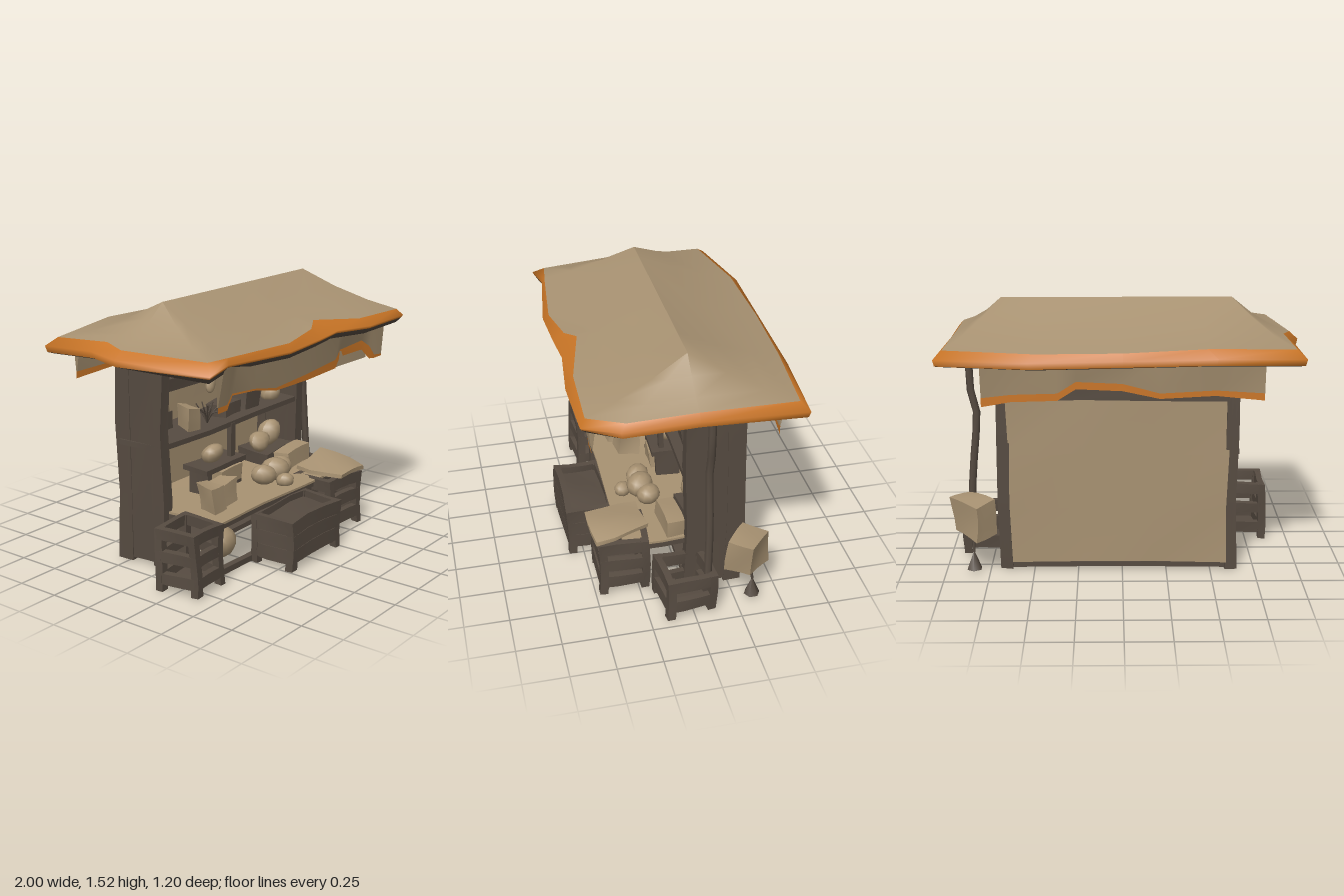
import * as THREE from 'three';

const tan = new THREE.MeshStandardMaterial({ color: 0xa89272, side: THREE.DoubleSide });
const wood = new THREE.MeshStandardMaterial({ color: 0x564b41, side: THREE.DoubleSide });
const orange = new THREE.MeshStandardMaterial({ color: 0xc97526, side: THREE.DoubleSide });
tan.name = 'tan cloth';
wood.name = 'dark wood';
orange.name = 'orange trim';

// Bend vertices by a smooth rule so that straight parts look hand made
function warp(geo, amount) {
  const p = geo.attributes.position;
  for (let i = 0; i < p.count; i++) {
    const x = p.getX(i), y = p.getY(i), z = p.getZ(i);
    p.setXYZ(i,
      x + amount * Math.sin(9 * y + 13 * z + 5 * x),
      y + amount * Math.sin(11 * x + 7 * z + 1),
      z + amount * Math.sin(8 * x + 10 * y + 2));
  }
  geo.computeVertexNormals();
  return geo;
}

function add(parent, name, geo, mat) {
  const m = new THREE.Mesh(geo, mat);
  m.name = name;
  parent.add(m);
  return m;
}

// Box given by its lower and upper corners
function box(parent, name, mat, [x0, y0, z0], [x1, y1, z1], amount = 0.006) {
  const g = new THREE.BoxGeometry(x1 - x0, y1 - y0, z1 - z0, 3, 3, 3);
  g.translate((x0 + x1) / 2, (y0 + y1) / 2, (z0 + z1) / 2);
  return add(parent, name, warp(g, amount), mat);
}

// Lumpy ball given by centre and radii
function lump(parent, name, mat, [x, y, z], [rx, ry, rz], amount = 0.012) {
  const g = new THREE.SphereGeometry(1, 10, 7).scale(rx, ry, rz).translate(x, y, z);
  return add(parent, name, warp(g, amount), mat);
}

function pole(parent, name, mat, points, r, sides = 7) {
  const curve = new THREE.CatmullRomCurve3(points.map(p => new THREE.Vector3(...p)));
  return add(parent, name, new THREE.TubeGeometry(curve, 8, r, sides), mat);
}

// Surface through rows of points
function skin(parent, name, mat, rows, closed) {
  const n = rows[0].length, idx = [];
  for (let r = 0; r < rows.length - 1; r++)
    for (let i = 0; i < (closed ? n : n - 1); i++) {
      const j = (i + 1) % n, a = r * n + i, b = r * n + j;
      idx.push(a, b, b + n, a, b + n, a + n);
    }
  const g = new THREE.BufferGeometry();
  g.setAttribute('position', new THREE.Float32BufferAttribute(rows.flat(2), 3));
  g.setIndex(idx);
  g.computeVertexNormals();
  return add(parent, name, g, mat);
}

function makeRoof() {
  const roof = new THREE.Group();
  roof.name = 'roof';
  // Eave outline, counter-clockwise from above: x, z, lift, trim width
  const eave = [[-0.94, 0.57, -0.01, 0.065], [-0.75, 0.54, 0.01, 0.015], [-0.3, 0.6, 0, 0.03], [0, 0.585, 0.01, 0.06],
    [0.2, 0.57, 0.02, 0.1], [0.5, 0.6, 0, 0.05], [0.88, 0.59, 0, 0.03], [0.97, 0.4, 0, 0.03], [0.97, 0, 0.01, 0.03],
    [1, -0.56, 0.01, 0.045], [0.5, -0.6, 0, 0.04], [0, -0.6, 0.01, 0.03], [-0.5, -0.6, 0.02, 0.05],
    [-0.98, -0.52, 0, 0.05], [-0.96, -0.2, 0.01, 0.06], [-1, 0, 0, 0.05]];
  const inset = (v, s) => v - Math.sign(v) * Math.min(Math.abs(v), s);
  const ring = (s, y) => eave.map(([x, z, lift]) => [inset(x, s), y + lift, inset(z, s)]);
  const trim = eave.map(([x, z, lift, w]) => [inset(x, w), 1.29 + lift + 0.4 * w, inset(z, w)]);
  // Lower edge of the trim sits higher along the front
  const lip = eave.map(([x, z, lift]) => [inset(x, 0.008), (z > 0.5 ? 1.25 : 1.23) + lift, inset(z, 0.008)]);
  // Rows running from the trim to the ridge line
  const slope = (t, y) => trim.map(([x, , z], i) => [
    THREE.MathUtils.lerp(x, THREE.MathUtils.clamp(x, -0.62, 0.68), t),
    y + (t < 1 ? eave[i][2] : 0),
    z * (1 - t)]);
  skin(roof, 'roof cloth', tan, [trim, slope(0.3, 1.345), slope(0.65, 1.415), slope(1, 1.508)], true);
  skin(roof, 'orange eave', orange, [lip, ring(0, 1.265), trim], true);
  skin(roof, 'eave underside', wood, [ring(0.14, 1.26), ring(0.08, 1.225), ring(0.03, 1.222), lip], true);
  skin(roof, 'roof lining', tan, [slope(1, 1.48), slope(0.5, 1.36), ring(0.14, 1.26)], true);
  return roof;
}

// Hanging cloth with an orange hem; columns: x, bottom, hem top
function valance(parent, name, cols, z) {
  const wave = x => z + 0.015 * Math.sin(11 * x);
  const s = Math.sign(z);
  skin(parent, name, tan, [cols.map(c => [c[0], 1.26, z + s * 0.03]), cols.map(c => [c[0], c[2], wave(c[0])])]);
  skin(parent, name + ' hem', orange, [cols.map(c => [c[0], c[2], wave(c[0])]), cols.map(c => [c[0], c[1], wave(c[0])])]);
  skin(parent, name + ' back', tan, [cols.map(c => [c[0], 1.24, z - s * 0.02]), cols.map(c => [c[0], c[2], wave(c[0]) - s * 0.006])]);
}

// Open slatted crate standing on the ground
function crate(parent, name, [cx, cz], [w, h, d], turn, rails = 3, slat = 0.06) {
  const g = new THREE.Group();
  g.name = name;
  const X = w / 2, Z = d / 2, t = 0.045, low = 0.045;
  for (const sx of [-1, 1]) for (const sz of [-1, 1]) {
    const px = sx * (X - t / 2), pz = sz * (Z - t / 2);
    box(g, 'crate post', wood, [px - t / 2, 0, pz - t / 2], [px + t / 2, h, pz + t / 2], 0.008);
  }
  for (let i = 0; i < rails; i++) {
    const y = low + i * (h - low - slat) / (rails - 1);
    for (const s of [-1, 1]) {
      const a = s * (Z - 0.018), b = s * (X - 0.018);
      box(g, 'crate slat', wood, [-X, y, a - 0.018], [X, y + slat, a + 0.018], 0.008);
      box(g, 'crate slat', wood, [b - 0.018, y, -Z], [b + 0.018, y + slat, Z], 0.008);
    }
  }
  box(g, 'crate floor', wood, [-X + 0.02, 0.03, -Z + 0.02], [X - 0.02, 0.05, Z - 0.02]);
  g.position.set(cx, 0, cz);
  g.rotation.y = turn;
  parent.add(g);
  return g;
}

// Bunch of bare twigs
function twigs(parent, x, y, z, n, h) {
  for (let i = 0; i < n; i++) {
    const a = i * 2.4, r = 0.04 + 0.05 * ((i * 7) % n) / n;
    pole(parent, 'twig', wood, [[x, y, z], [x + 0.5 * r * Math.cos(a), y + h * 0.5, z + 0.5 * r * Math.sin(a)],
      [x + r * Math.cos(a), y + h * (0.8 + 0.2 * Math.sin(i)), z + r * Math.sin(a)]], 0.005, 4);
  }
}

export function createModel() {
  const stall = new THREE.Group();
  stall.name = 'market stall';
  stall.add(makeRoof());
  valance(stall, 'front valance', [[-0.78, 1.02, 1.05], [-0.7, 1.02, 1.05], [-0.66, 1.09, 1.1], [-0.5, 1.085, 1.095], [-0.3, 1.04, 1.055],
    [0, 1.035, 1.07], [0.28, 1.045, 1.095], [0.34, 1.1, 1.14], [0.56, 1.1, 1.155], [0.63, 1.035, 1.11], [0.68, 1.03, 1.05], [0.76, 1.03, 1.04]], 0.505);
  box(stall, 'valance flap', tan, [0.3, 1.045, 0.492], [0.62, 1.13, 0.498], 0.003);
  valance(stall, 'back valance', [[-0.76, 1.04, 1.08], [-0.5, 1.06, 1.09], [-0.2, 1.05, 1.08], [0, 1.09, 1.13],
    [0.25, 1.1, 1.14], [0.35, 1.04, 1.08], [0.6, 1.03, 1.07], [0.76, 1.0, 1.05]], -0.5);

  // Cabinet
  const cab = new THREE.Group();
  cab.name = 'cabinet';
  stall.add(cab);
  for (const s of [-1, 1]) {
    const x = s * 0.638 + 0.026;
    box(cab, 'side wall', wood, [x - 0.03, 0.02, -0.32], [x + 0.03, 1.2, -0.02], 0.008);
    box(cab, 'front post', wood, [x - 0.034, 0, -0.08], [x + 0.034, 1.17, 0], 0.008);
    box(cab, 'back post', wood, [x - 0.034, 0, -0.33], [x + 0.034, 1.2, -0.23], 0.008);
  }
  box(cab, 'back panel', tan, [-0.59, 0.04, -0.33], [0.64, 1.0, -0.3]);
  box(cab, 'back header', wood, [-0.6, 0.99, -0.335], [0.65, 1.2, -0.29]);
  box(cab, 'front header', wood, [-0.62, 1.0, -0.07], [0.68, 1.07, -0.02], 0.01);
  box(cab, 'cabinet top', wood, [-0.6, 1.17, -0.31], [0.65, 1.19, -0.03]);
  box(cab, 'cabinet floor', wood, [-0.6, 0.005, -0.32], [0.65, 0.035, -0.01], 0.004);
  box(cab, 'upper shelf', wood, [-0.65, 0.68, -0.3], [0.66, 0.71, -0.01]);
  box(cab, 'middle strut', wood, [-0.02, 0.3, -0.04], [0.02, 0.69, -0.01]);

  // Counter
  box(stall, 'counter', wood, [-0.6, 0.28, -0.3], [0.66, 0.31, 0.33]);
  box(stall, 'counter cloth', tan, [-0.6, 0.312, -0.29], [0.66, 0.325, 0.34]);
  for (const x of [-0.57, 0.3]) box(stall, 'counter leg', wood, [x - 0.025, 0, 0.27], [x + 0.025, 0.29, 0.32]);
  box(stall, 'counter rail', wood, [-0.6, 0.0, 0.28], [0.3, 0.035, 0.32]);

  // Goods on the counter
  const goods = new THREE.Group();
  goods.name = 'goods';
  stall.add(goods);
  box(goods, 'open sack', tan, [-0.48, 0.32, 0.1], [-0.35, 0.48, 0.22], 0.02);
  box(goods, 'small sack', tan, [-0.33, 0.32, 0.08], [-0.2, 0.46, 0.2], 0.02);
  box(goods, 'riser', wood, [-0.3, 0.46, -0.14], [0.06, 0.49, 0.04]);
  for (const x of [-0.25, 0.03]) box(goods, 'riser leg', wood, [x - 0.02, 0.32, -0.12], [x + 0.02, 0.47, 0.02]);
  box(goods, 'parcel', tan, [-0.16, 0.35, -0.1], [0.02, 0.45, 0.05], 0.012);
  lump(goods, 'bundle', tan, [-0.12, 0.54, -0.07], [0.08, 0.06, 0.06], 0.02);
  for (const [x, y, z, r] of [[0.1, 0.38, 0.14, 0.07], [0.2, 0.4, 0.14, 0.08], [0.29, 0.39, 0.11, 0.07], [0.16, 0.36, 0.24, 0.05]])
    lump(goods, 'loaf', tan, [x, y, z], [r, r * 0.85, r]);
  box(goods, 'display box', wood, [0.36, 0.32, -0.26], [0.64, 0.41, -0.02], 0.01);
  box(goods, 'tan tray', tan, [0.4, 0.32, 0], [0.64, 0.42, 0.1], 0.01);
  lump(goods, 'round jar', tan, [0.53, 0.49, -0.12], [0.07, 0.08, 0.07]);
  lump(goods, 'pouch', tan, [0.41, 0.48, -0.1], [0.08, 0.06, 0.06], 0.02);
  lump(goods, 'ground sack', tan, [-0.4, 0.14, 0.18], [0.11, 0.1, 0.1], 0.015);

  // Goods on the upper shelf
  lump(goods, 'tall jar', tan, [-0.5, 0.82, -0.14], [0.065, 0.12, 0.06]);
  box(goods, 'jar label', wood, [-0.53, 0.76, -0.085], [-0.46, 0.86, -0.077], 0.003);
  box(goods, 'shelf sack', tan, [-0.32, 0.71, -0.18], [-0.22, 0.85, -0.08], 0.025);
  box(goods, 'shelf box', wood, [0, 0.71, -0.2], [0.15, 0.78, -0.06], 0.012);
  box(goods, 'dark pot', wood, [0.2, 0.71, -0.18], [0.32, 0.84, -0.06], 0.015);
  lump(goods, 'plant pot', tan, [0.5, 0.755, -0.12], [0.06, 0.055, 0.06]);
  twigs(goods, -0.13, 0.71, -0.1, 14, 0.12);
  twigs(goods, 0.1, 0.77, -0.13, 8, 0.12);
  twigs(goods, 0.21, 0.83, -0.13, 8, 0.15);
  twigs(goods, 0.46, 0.78, -0.12, 12, 0.12);
  twigs(goods, 0.54, 0.78, -0.12, 12, 0.12);
  for (const x of [-0.14, 0.21]) lump(goods, 'hanging bunch', tan, [x, 0.96, -0.06], [0.035, 0.05, 0.025], 0.02);

  // Crates around the front
  crate(stall, 'left crate', [-0.73, 0.26], [0.26, 0.35, 0.27], 0.05);
  crate(stall, 'right crate', [0.8, 0.03], [0.28, 0.24, 0.28], 0.08, 2, 0.07);
  crate(stall, 'front right crate', [0.5, 0.33], [0.32, 0.33, 0.28], -0.05, 3, 0.07);
  const mid = crate(stall, 'front middle crate', [0, 0.45], [0.5, 0.29, 0.28], 0, 3, 0.08);
  box(mid, 'crate filling', wood, [-0.22, 0.03, -0.12], [0.22, 0.25, 0.12], 0.01);
  const rag = box(stall, 'crate cloth', tan, [-0.14, -0.012, -0.15], [0.14, 0.012, 0.15], 0.02);
  rag.position.set(0.5, 0.375, 0.34);
  rag.rotation.x = 0.12;

  // Side pole with a sack hanging behind it
  pole(stall, 'side pole', wood, [[0.88, 0.2, -0.08], [0.86, 0.5, -0.09], [0.83, 0.9, -0.09], [0.86, 1.0, -0.09], [0.86, 1.26, -0.09]], 0.022);
  const sack = box(stall, 'hanging sack', tan, [-0.1, -0.1, -0.075], [0.1, 0.1, 0.075], 0.015);
  sack.position.set(0.84, 0.31, -0.32);
  sack.rotation.y = -Math.PI / 4;
  const tassel = add(stall, 'sack tassel', new THREE.ConeGeometry(0.045, 0.11, 6), wood);
  tassel.position.set(0.84, 0.065, -0.35);
  pole(stall, 'sack cord', wood, [[0.84, 0.24, -0.33], [0.84, 0.18, -0.34], [0.84, 0.11, -0.35]], 0.008, 5);
  return stall;
}
